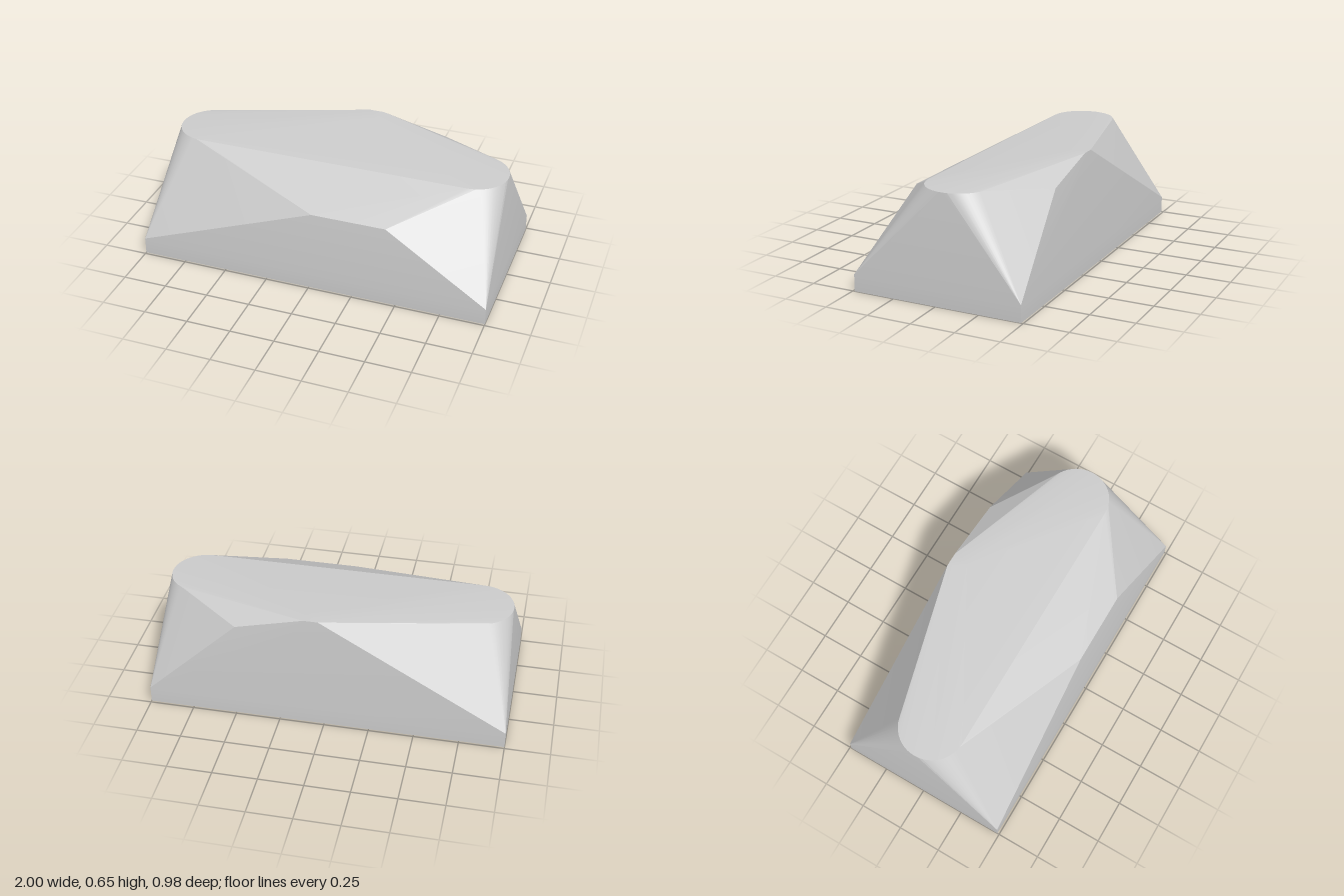
import * as THREE from 'three';
import { ConvexGeometry } from 'three/addons/geometries/ConvexGeometry.js';
import { toCreasedNormals } from 'three/addons/utils/BufferGeometryUtils.js';

export function createModel() {
  const group = new THREE.Group();
  const points = [];
  const add = (x, y, z) => points.push(new THREE.Vector3(x, y, z));

  // rectangular plinth corners
  for (const x of [-1, 1])
    for (const y of [0, 0.095])
      for (const z of [-0.488, 0.488]) add(x, y, z);

  // stadium-shaped shoulder with rounded ends
  const steps = 24, radius = 0.185;
  for (const side of [-1, 1])
    for (let i = 0; i <= steps; i++) {
      const a = -Math.PI / 2 + (Math.PI * i) / steps;
      add(side * (0.78 + radius * Math.cos(a)), 0.605, -0.035 + radius * Math.sin(a));
    }

  // front ridge
  add(0, 0.443, 0.44);
  add(0.42, 0.443, 0.44);

  // rear peak and lower rear corner
  add(0.04, 0.65, -0.44);
  add(0.12, 0.65, -0.44);
  add(0.1, 0.65, -0.35);
  add(0.5, 0.556, -0.442);

  // faceted body, smooth only around the rounded ends
  const geometry = toCreasedNormals(new ConvexGeometry(points), 0.16);
  const body = new THREE.Mesh(geometry, new THREE.MeshStandardMaterial({ color: 0xcccccc }));
  body.name = 'facetedBody';
  group.add(body);
  return group;
}
